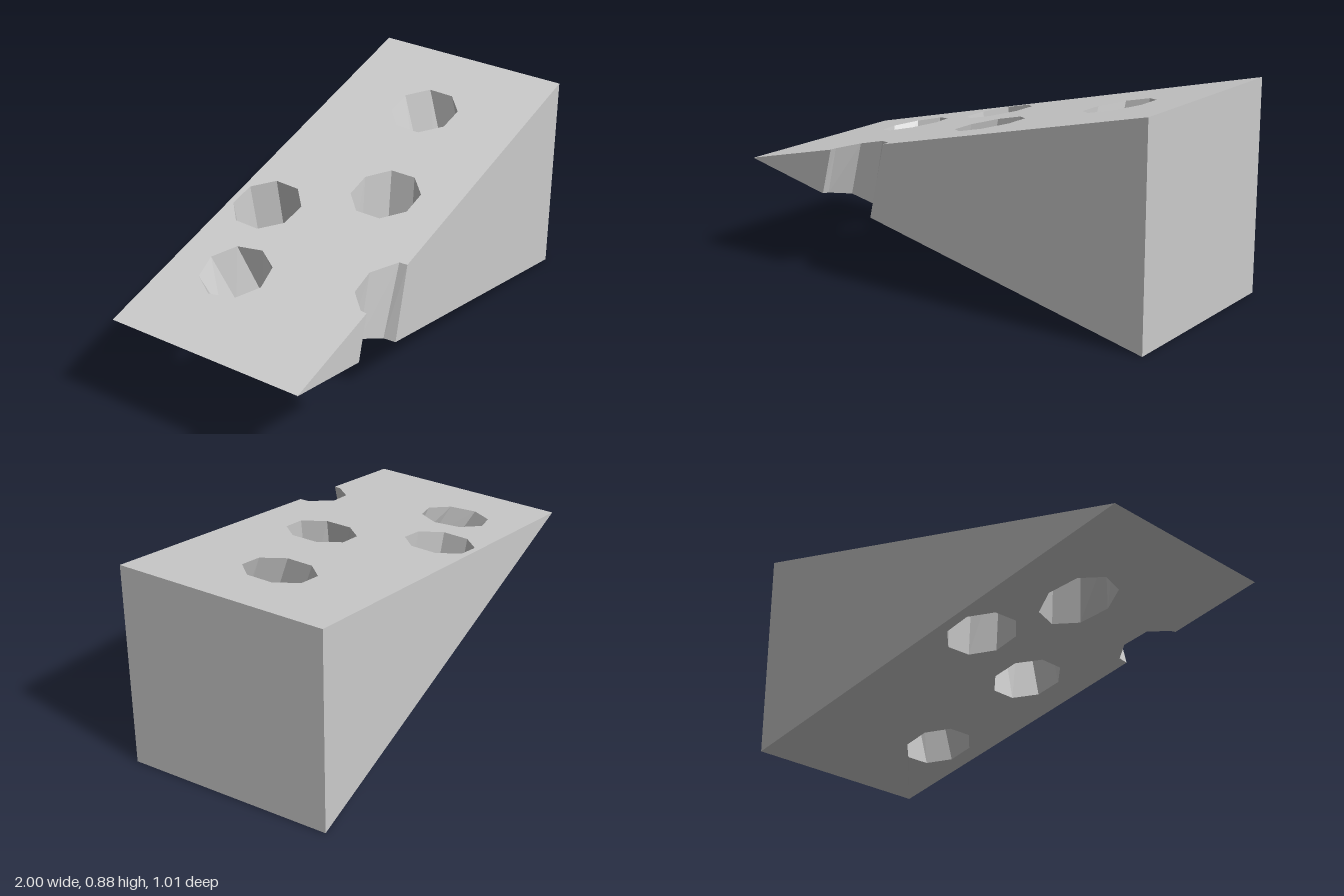
import * as THREE from 'three';

const material = new THREE.MeshStandardMaterial({ color: 0xcccccc, flatShading: true });

// Half the wedge's thickness at plan position (x, z): zero at the thin edge
const MID = 0.4425;
const halfHeight = (x, z) =>
  MID * Math.min(1, Math.max(0, ((x + 1) * 0.9965 - (z + 0.35) * 0.083) / 1.932));

// Plan outlines [x, z], with the bite in the front edge leaning from top to bottom
const outline = (bite) => [[-1, -0.35], [-0.926, 0.505], ...bite, [1, 0.345], [0.925, -0.51]];
const topOutline = outline([[-0.485, 0.468], [-0.485, 0.44], [-0.42, 0.36], [-0.31, 0.345], [-0.21, 0.41], [-0.205, 0.445]]);
const bottomOutline = outline([[-0.535, 0.472], [-0.53, 0.445], [-0.48, 0.36], [-0.37, 0.345], [-0.29, 0.40], [-0.28, 0.451]]);

// Octagonal holes: top centre, bottom centre, first vertex angle, bottom width scale
const holes = [
  { top: [-0.567, -0.11], bottom: [-0.505, -0.045], turn: 0.1, wide: 1.15 },
  { top: [-0.21, -0.258], bottom: [-0.163, -0.238], turn: 0.35, wide: 1 },
  { top: [0.075, 0.125], bottom: [0.0, 0.152], turn: 0.3, wide: 1 },
  { top: [0.577, -0.055], bottom: [0.575, 0.162], turn: 0.33, wide: 1 },
];
const octagon = ([cx, cz], turn, wide) =>
  Array.from({ length: 8 }, (_, i) => {
    const a = turn + (i * Math.PI) / 4;
    return [cx + 0.143 * wide * Math.cos(a), cz + 0.143 * Math.sin(a)];
  });

// Sloping face with holes; side is +1 for the top and -1 for the bottom
function slope(points, holeLoops, side) {
  const toVectors = (loop) => loop.map(([x, z]) => new THREE.Vector2(x, -z));
  const shape = new THREE.Shape(toVectors(points));
  shape.holes = holeLoops.map((loop) => new THREE.Path(toVectors(loop)));
  const geometry = new THREE.ShapeGeometry(shape);
  const p = geometry.attributes.position;
  for (let i = 0; i < p.count; i++) {
    const x = p.getX(i), z = -p.getY(i);
    p.setXYZ(i, x, MID + side * halfHeight(x, z), z);
  }
  if (side < 0) geometry.index.array.reverse();
  geometry.computeVertexNormals();
  return geometry;
}

// Band of flat quads joining a loop on the top to its partner on the bottom
function walls(topLoop, bottomLoop) {
  const up = topLoop.map(([x, z]) => [x, MID + halfHeight(x, z), z]);
  const low = bottomLoop.map(([x, z]) => [x, MID - halfHeight(x, z), z]);
  const positions = [];
  for (let i = 0; i < up.length; i++) {
    const j = (i + 1) % up.length;
    if (up[i][1] - low[i][1] < 0.005 && up[j][1] - low[j][1] < 0.005) continue;
    positions.push(...low[i], ...low[j], ...up[j], ...low[i], ...up[j], ...up[i]);
  }
  const geometry = new THREE.BufferGeometry();
  geometry.setAttribute('position', new THREE.Float32BufferAttribute(positions, 3));
  geometry.computeVertexNormals();
  return geometry;
}

export function createModel() {
  const group = new THREE.Group();
  group.name = 'cheeseWedge';
  const add = (name, geometry) => {
    const mesh = new THREE.Mesh(geometry, material);
    mesh.name = name;
    group.add(mesh);
  };

  const topHoles = holes.map((h) => octagon(h.top, h.turn, 1));
  const bottomHoles = holes.map((h) => octagon(h.bottom, h.turn, h.wide));

  add('topFace', slope(topOutline, topHoles, 1));
  add('bottomFace', slope(bottomOutline, bottomHoles, -1));
  add('sides', walls(topOutline, bottomOutline));
  topHoles.forEach((loop, i) => add('holeWall' + (i + 1), walls(loop, bottomHoles[i])));
  return group;
}
